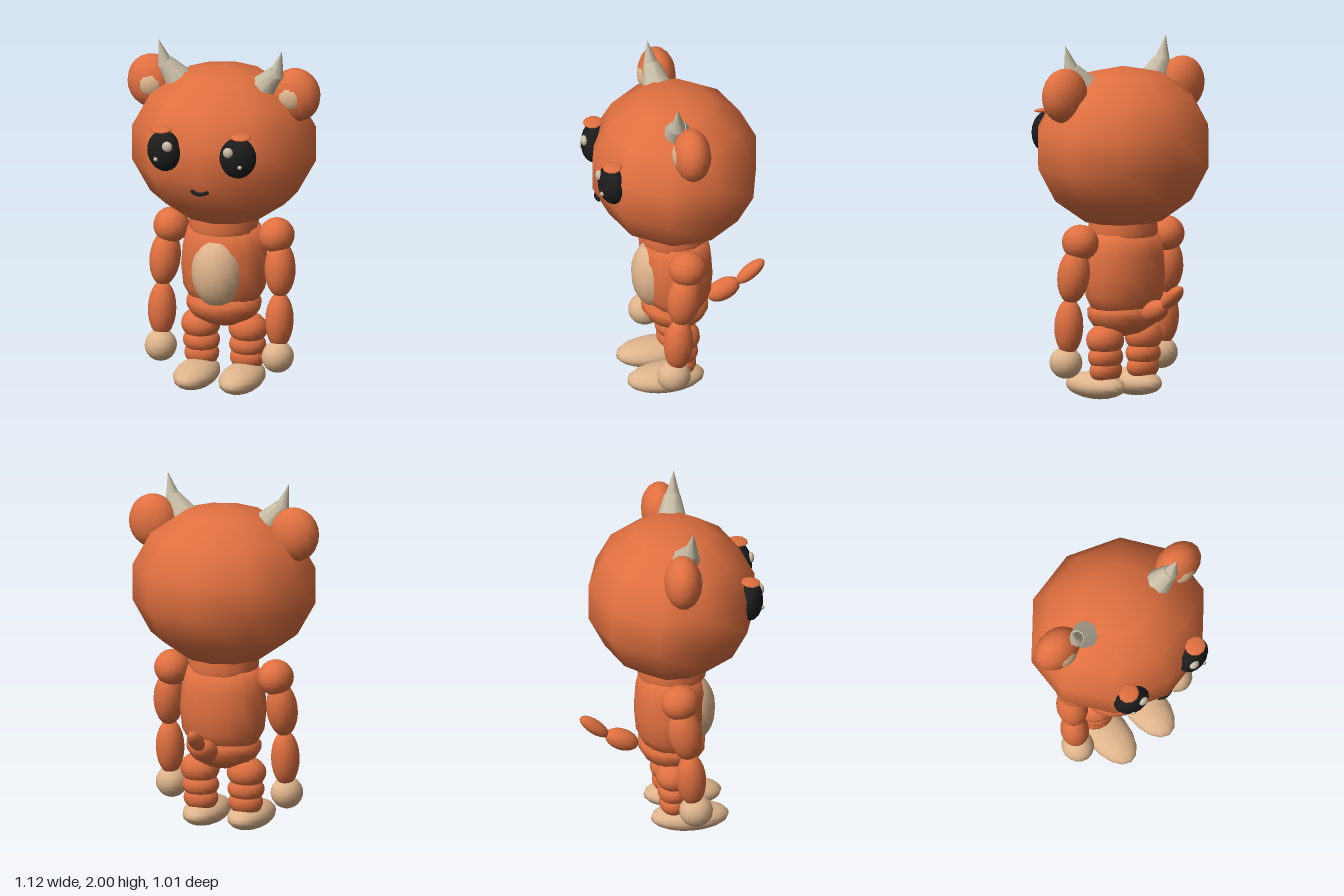
import * as THREE from 'three';

const mat = (name, color) => {
  const m = new THREE.MeshStandardMaterial({ color });
  m.name = name;
  return m;
};

export function createModel() {
  const orange = mat('orangeFur', 0xe07040);
  const tan = mat('tanSkin', 0xdeb48c);
  const bone = mat('boneIvory', 0xc8bda6);
  const black = mat('black', 0x1c1c1c);

  const root = new THREE.Group();
  root.name = 'hornedCreature';

  const add = (name, geometry, material, parent = root) => {
    const mesh = new THREE.Mesh(geometry, material);
    mesh.name = name;
    parent.add(mesh);
    return mesh;
  };

  // Ellipsoid from centre, radii and optional rotation
  const blob = (name, material, pos, radii, rot = [0, 0, 0], parent = root, seg = [16, 12]) => {
    const mesh = add(name, new THREE.SphereGeometry(1, ...seg), material, parent);
    mesh.position.set(...pos);
    mesh.scale.set(...radii);
    mesh.rotation.set(...rot);
    return mesh;
  };

  // Round profile about the vertical axis, flattened front to back
  const turned = (name, material, points, depth, z = 0) => {
    const geo = new THREE.LatheGeometry(points.map(p => new THREE.Vector2(...p)), 16);
    const mesh = add(name, geo, material);
    mesh.scale.z = depth;
    mesh.position.z = z;
    return mesh;
  };

  // Tapered cylinder between two points
  const taper = (name, material, from, to, r0, r1, parent) => {
    const a = new THREE.Vector3(...from);
    const b = new THREE.Vector3(...to);
    const dir = b.clone().sub(a);
    const mesh = add(name, new THREE.CylinderGeometry(r1, r0, dir.length(), 8), material, parent);
    mesh.position.copy(a).add(b).multiplyScalar(0.5);
    mesh.quaternion.setFromUnitVectors(new THREE.Vector3(0, 1, 0), dir.normalize());
    return mesh;
  };

  // Head: coarse sphere with an edge facing straight ahead
  const headGeo = new THREE.SphereGeometry(1, 10, 7, Math.PI / 2);
  const head = add('head', headGeo, orange);
  head.position.set(0, 1.41, 0.01);
  head.scale.set(0.528, 0.455, 0.48);

  // Mouth: small smile following the face
  const smile = new THREE.QuadraticBezierCurve3(
    new THREE.Vector3(-0.048, 1.258, 0.44),
    new THREE.Vector3(0, 1.234, 0.472),
    new THREE.Vector3(0.048, 1.258, 0.44));
  add('mouth', new THREE.TubeGeometry(smile, 10, 0.011, 8), black);

  // Neck, torso, belly and pelvis
  turned('neck', orange, [[0.19, 0.92], [0.195, 0.95], [0.19, 1.0]], 1, 0.012);
  turned('torso', orange, [
    [0, 0.49], [0.19, 0.5], [0.235, 0.58], [0.248, 0.7], [0.238, 0.82], [0.205, 0.935], [0, 0.95],
  ], 0.81);
  blob('bellyPatch', tan, [0, 0.69, 0.115], [0.15, 0.21, 0.14]);
  turned('pelvis', orange, [
    [0, 0.347], [0.1, 0.37], [0.18, 0.415], [0.21, 0.46], [0.212, 0.5], [0.185, 0.53], [0, 0.53],
  ], 0.89, 0.01);

  // Tail: two tilted beads rising behind
  blob('tailBase', orange, [0, 0.517, -0.27], [0.062, 0.06, 0.1], [0.42, 0, 0]);
  blob('tailTip', orange, [0, 0.612, -0.425], [0.044, 0.04, 0.1], [0.68, 0, 0]);

  // Paired parts
  for (const [side, s] of [['left', 1], ['right', -1]]) {
    const group = name => {
      const g = new THREE.Group();
      g.name = side + name;
      root.add(g);
      return g;
    };

    // Ear with inner patch
    const ear = group('Ear');
    blob('earOuter', orange, [s * 0.42, 1.733, 0.01], [0.142, 0.153, 0.105], [0, 0, 0], ear);
    blob('earInner', tan, [s * 0.412, 1.732, 0.06], [0.083, 0.085, 0.062], [0, 0, 0], ear);

    // Two-stage horn
    const horn = group('Horn');
    taper('hornBase', bone, [s * 0.25, 1.77, 0.05], [s * 0.327, 1.87, 0.066], 0.083, 0.046, horn);
    taper('hornTip', bone, [s * 0.323, 1.855, 0.066], [s * 0.36, 2.0, 0.078], 0.046, 0.001, horn);

    // Eye, highlights and lid
    const eye = group('Eye');
    blob('eyeball', black, [s * 0.215, 1.47, 0.42], [0.103, 0.117, 0.072], [0, s * 0.25, 0], eye);
    blob('largeHighlight', bone, [s * 0.178, 1.515, 0.483], [0.03, 0.03, 0.02], [0, 0, 0], eye);
    blob('smallHighlight', bone, [s * 0.245, 1.435, 0.48], [0.013, 0.013, 0.014], [0, 0, 0], eye);
    blob('brow', orange, [s * 0.232, 1.592, 0.42], [0.06, 0.012, 0.056], [0.08, 0, 0], eye, [10, 8]);

    // Arm
    const arm = group('Arm');
    blob('shoulder', orange, [s * 0.308, 0.9, 0.01], [0.1, 0.1, 0.107], [0, 0, 0], arm);
    blob('upperArm', orange, [s * 0.336, 0.715, 0.035], [0.086, 0.16, 0.095], [-0.15, 0, s * 0.06], arm);
    blob('forearm', orange, [s * 0.343, 0.425, 0.068], [0.079, 0.16, 0.083], [-0.06, 0, 0], arm);
    blob('hand', tan, [s * 0.342, 0.22, 0.095], [0.09, 0.09, 0.095], [0, 0, 0], arm);

    // Leg built from stacked rolls, and a long foot
    const leg = group('Leg');
    blob('thigh', orange, [s * 0.138, 0.34, 0], [0.112, 0.09, 0.1], [0, 0, 0], leg);
    blob('knee', orange, [s * 0.135, 0.245, 0], [0.106, 0.075, 0.09], [0, 0, 0], leg);
    blob('shin', orange, [s * 0.133, 0.17, 0], [0.1, 0.075, 0.08], [0, 0, 0], leg);
    blob('foot', tan, [s * 0.133, 0.075, 0.092], [0.12, 0.075, 0.22], [0, 0, 0], leg);
  }

  return root;
}
